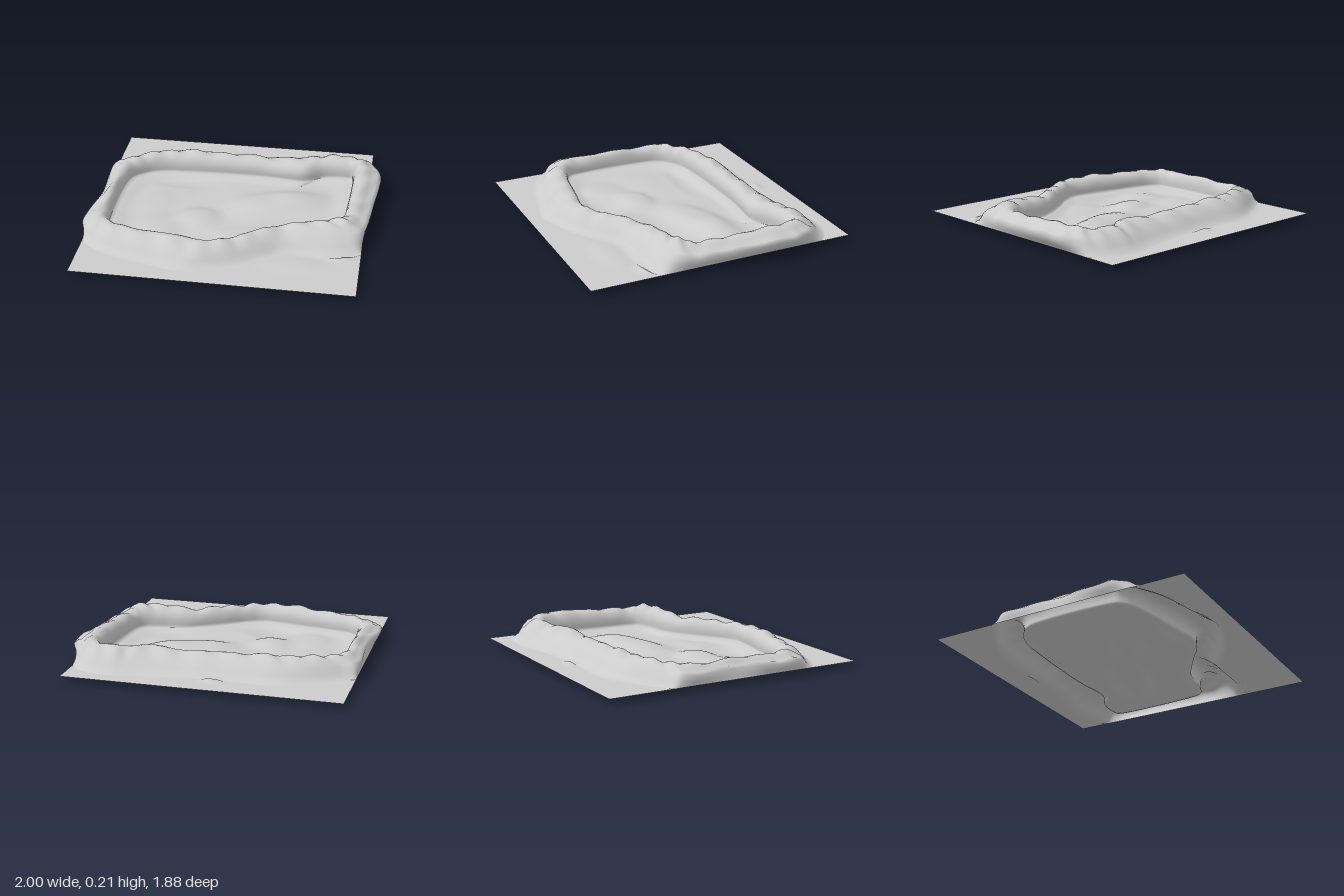
import * as THREE from 'three';

const CX = -0.025, HALF_X = 0.945, HALF_Z = 0.94, GROUND = 0.046;
const SEGMENTS = 288, FLOOR_RINGS = 30, APRON_RINGS = 10;

// Stations round the wall: inner x, z, outer x, z, crest height
const stations = [
  [-0.83, -0.27, -0.97, -0.38, 0.165], [-0.74, -0.39, -0.86, -0.5, 0.175],
  [-0.6, -0.45, -0.65, -0.62, 0.18], [-0.4, -0.47, -0.45, -0.68, 0.18],
  [-0.15, -0.48, -0.15, -0.68, 0.175], [0.15, -0.48, 0.15, -0.69, 0.165],
  [0.42, -0.46, 0.45, -0.73, 0.175], [0.58, -0.54, 0.63, -0.77, 0.18],
  [0.74, -0.55, 0.83, -0.73, 0.185], [0.79, -0.52, 0.95, -0.59, 0.2],
  [0.8, -0.35, 1.0, -0.42, 0.2], [0.79, -0.08, 0.97, -0.08, 0.185],
  [0.77, 0.13, 0.945, 0.18, 0.175], [0.72, 0.21, 0.9, 0.36, 0.2],
  [0.6, 0.25, 0.76, 0.46, 0.195], [0.4, 0.29, 0.42, 0.48, 0.17],
  [0.18, 0.42, 0.23, 0.58, 0.17], [0.02, 0.53, 0.05, 0.69, 0.165],
  [-0.12, 0.57, -0.2, 0.77, 0.17], [-0.38, 0.53, -0.45, 0.72, 0.17],
  [-0.66, 0.48, -0.74, 0.65, 0.16], [-0.8, 0.42, -0.94, 0.53, 0.165],
  [-0.84, 0.32, -1.0, 0.37, 0.165], [-0.85, 0.02, -0.955, 0.02, 0.165],
];

// Wall cross-section: position across the wall, height fraction
const wall = [
  [-0.01, 0.15], [-0.02, 0.33], [-0.01, 0.52], [0.03, 0.7], [0.1, 0.86], [0.2, 0.96],
  [0.32, 1], [0.46, 0.97], [0.6, 0.87], [0.73, 0.74], [0.86, 0.57],
];

// Mounds: x, z, half length, half width, turn, height
const mounds = [
  [0.25, -0.13, 0.35, 0.16, -0.3, 0.05], [0.45, -0.2, 0.2, 0.13, -0.4, 0.012],
  [-0.25, 0.12, 0.15, 0.12, -0.2, 0.035], [-0.5, 0.25, 0.14, 0.16, 0.3, 0.02],
  [-0.6, -0.05, 0.14, 0.18, 0, 0.014], [0.05, 0.3, 0.2, 0.1, -0.5, 0.012],
  [-0.45, -0.36, 0.25, 0.08, 0, -0.014], [-0.2, 0.38, 0.2, 0.1, 0, -0.014],
  [0.5, 0.14, 0.2, 0.08, 0, -0.006],
];
const outerMounds = [
  [0.48, 0.64, 0.22, 0.09, -0.1, 0.012], [-0.07, -0.75, 0.07, 0.06, 0, 0.014],
  [0.78, 0.49, 0.09, 0.08, 0, 0.02],
];

function moundHeight(list, x, z) {
  return list.reduce((sum, [mx, mz, a, b, turn, h]) => {
    const dx = x - mx, dz = z - mz, c = Math.cos(turn), s = Math.sin(turn);
    const u = (dx * c + dz * s) / a, v = (dz * c - dx * s) / b;
    return sum + h * Math.exp(-Math.pow(u * u + v * v, 1.6) * 1.2);
  }, 0);
}

function floorHeight(x, z) {
  return 0.023 + moundHeight(mounds, x, z)
    + 0.003 * Math.sin(x * 11 + z * 4) * Math.cos(z * 13 - x * 3);
}

function loop(ix, iz) {
  return new THREE.CatmullRomCurve3(
    stations.map(s => new THREE.Vector3(s[ix], s[4], s[iz])), true, 'catmullrom', 0.5);
}

// Points of one radial strip, from the basin centre to the sheet border
function radialStrip(inner, outer, t) {
  const p = inner.getPoint(t), q = outer.getPoint(t), strip = [];
  const add = (x, y, z) => strip.push(new THREE.Vector3(x, y, z));
  const a = t * Math.PI * 2;

  // Basin floor, rising to meet the wall
  for (let k = 0; k <= FLOOR_RINGS; k++) {
    const f = k / FLOOR_RINGS;
    const x = THREE.MathUtils.lerp(-0.05, p.x, f), z = p.z * f;
    const rim = THREE.MathUtils.smoothstep(f, 0.82, 1);
    add(x, THREE.MathUtils.lerp(floorHeight(x, z), GROUND, rim), z);
  }

  // Rippled wall
  const crest = p.y - GROUND + 0.004 * Math.sin(a * 17) + 0.003 * Math.sin(a * 31 + 1);
  const steep = THREE.MathUtils.smoothstep(Math.abs(q.x - CX), 0.84, 0.95);
  for (const [across, h] of wall) {
    const ripple = 0.006 * Math.sin(a * 29 + across * 7) * Math.sin(across * Math.PI);
    const height = THREE.MathUtils.lerp(h, Math.max(h, 0.72), across > 0.4 ? steep : 0);
    add(THREE.MathUtils.lerp(p.x, q.x, across), GROUND + crest * height + ripple,
      THREE.MathUtils.lerp(p.z, q.z, across));
  }

  // Outer face: overhanging at the sides, sloping at front and back
  add(q.x, GROUND + crest * THREE.MathUtils.lerp(0.33, 0.58, steep), q.z);
  const toe = (f) => [
    THREE.MathUtils.clamp(p.x + (q.x - p.x) * f, CX - HALF_X, CX + HALF_X),
    p.z + (q.z - p.z) * f];
  const [mx, mz] = toe(1.12), [tx, tz] = toe(1.28);
  add(THREE.MathUtils.lerp(mx, q.x, steep * 0.5), GROUND + crest * THREE.MathUtils.lerp(0.12, 0.25, steep), mz);
  add(tx, GROUND, tz);

  // Flat apron out to the border
  const dx = tx - CX;
  const reach = Math.min(HALF_X / Math.abs(dx), HALF_Z / Math.abs(tz));
  for (let k = 1; k <= APRON_RINGS; k++) {
    const s = THREE.MathUtils.lerp(1, reach, k / APRON_RINGS);
    add(CX + dx * s, GROUND, tz * s);
  }
  const toeIndex = strip.length - 1 - APRON_RINGS;
  for (let k = toeIndex + 1; k < strip.length - 1; k++) {
    strip[k].y += moundHeight(outerMounds, strip[k].x, strip[k].z);
  }
  return strip;
}

export function createModel() {
  const group = new THREE.Group();
  group.name = 'walledBasinTerrain';
  const inner = loop(0, 1), outer = loop(2, 3);
  const strips = [];
  for (let i = 0; i < SEGMENTS; i++) strips.push(radialStrip(inner, outer, i / SEGMENTS));

  // Square off the four corners of the sheet
  for (const sx of [-1, 1]) for (const sz of [-1, 1]) {
    const corner = new THREE.Vector3(CX + sx * HALF_X, GROUND, sz * HALF_Z);
    const edges = strips.map(s => s[s.length - 1]);
    edges.reduce((m, e) => (e.distanceTo(corner) < m.distanceTo(corner) ? e : m)).copy(corner);
  }

  const rings = strips[0].length, positions = [], index = [];
  strips.forEach((strip, i) => strip.forEach((v, r) => {
    positions.push(v.x, v.y, v.z);
    if (r === rings - 1) return;
    const a = i * rings + r, b = ((i + 1) % SEGMENTS) * rings + r;
    if (r > 0) index.push(a, b, a + 1);
    index.push(b, b + 1, a + 1);
  }));
  const geometry = new THREE.BufferGeometry();
  geometry.setAttribute('position', new THREE.Float32BufferAttribute(positions, 3));
  geometry.setIndex(index);
  geometry.computeVertexNormals();

  // One shared upright normal at the basin centre
  for (let i = 0; i < SEGMENTS; i++) geometry.attributes.normal.setXYZ(i * rings, 0, 1, 0);

  const terrain = new THREE.Mesh(geometry,
    new THREE.MeshStandardMaterial({ color: 0xcccccc, side: THREE.DoubleSide }));
  terrain.name = 'terrainSheet';
  group.add(terrain);
  return group;
}
